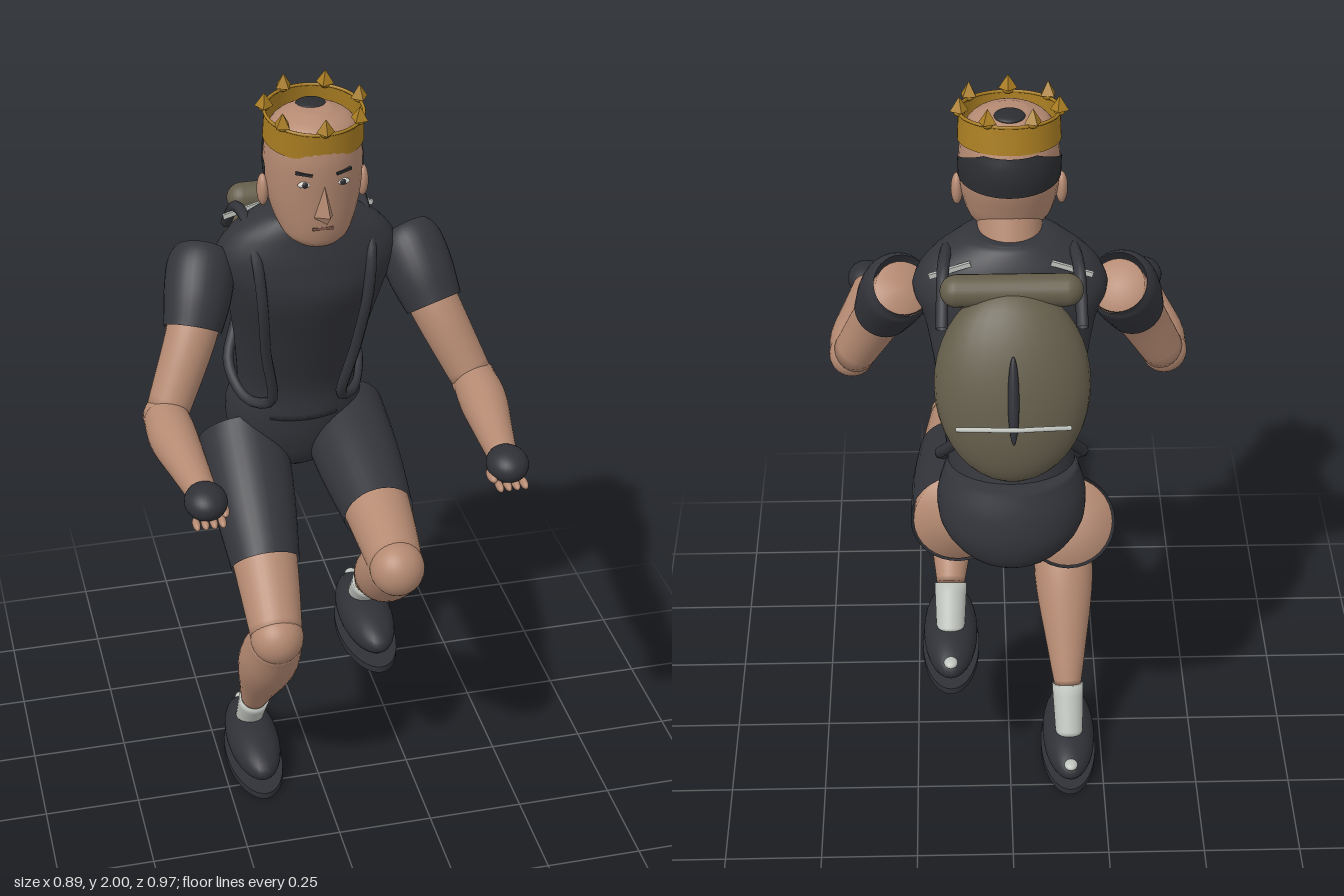
import * as THREE from 'three';
import { ConvexGeometry } from 'three/addons/geometries/ConvexGeometry.js';

const mat = (name, color) => Object.assign(new THREE.MeshStandardMaterial({ color, side: THREE.DoubleSide }), { name });
const V = (x, y, z) => new THREE.Vector3(x, y, z);

export function createModel() {
  const skin = mat('skin', 0xb58a72), cloth = mat('dark cloth', 0x34353b), dark = mat('shoe and glove', 0x303137);
  const hair = mat('hair', 0x2c2d31), canvas = mat('pack canvas', 0x645d4b), light = mat('light sock', 0xbfc3bd);
  const gold = mat('gold', 0xa97d22), white = mat('eye white', 0xe0ddd6), lip = mat('lips', 0x7c574a);

  const model = new THREE.Group();
  model.name = 'runner';

  function add(name, geo, material, pos = [0, 0, 0], rot = [0, 0, 0], parent = model) {
    const m = new THREE.Mesh(geo, material);
    m.name = name;
    m.position.set(...pos);
    m.rotation.set(...rot);
    parent.add(m);
    return m;
  }
  function ball(name, material, pos, size, parent = model) {
    const m = add(name, new THREE.SphereGeometry(1, 28, 20), material, pos, [0, 0, 0], parent);
    m.scale.set(...size);
    return m;
  }
  // Smooth surface through rings [x, y, z, rx, rz, halfAngle]; rings stay level, or face along the path
  function loft(rings, { along = false, cap = true, steps = 6, seg = 32 } = {}) {
    const curve = (f) => new THREE.CatmullRomCurve3(rings.map(f), false, 'catmullrom', 0.5);
    const path = curve((r) => V(r[0], r[1], r[2]));
    const radii = curve((r) => V(r[3], r[4] ?? r[3], r[5] ?? Math.PI));
    const n = (rings.length - 1) * steps, pos = [], index = [], q = new THREE.Quaternion();
    const arc = rings[0].length > 5, cols = arc ? seg + 1 : seg;
    const rows = [];
    for (let i = 0; i <= n; i++) rows.push([i / n, 1]);
    if (cap) { rows.unshift([0, 0]); rows.push([1, 0]); }
    for (const [t, k] of rows) {
      const c = path.getPoint(t), r = radii.getPoint(t);
      if (along) q.setFromUnitVectors(V(0, 1, 0), path.getTangent(t));
      for (let j = 0; j < cols; j++) {
        const a = arc ? Math.PI - r.z + (2 * r.z * j) / seg : (2 * Math.PI * j) / seg;
        const p = V(Math.sin(a) * r.x * k, 0, Math.cos(a) * r.y * k).applyQuaternion(q).add(c);
        pos.push(p.x, p.y, p.z);
      }
    }
    for (let i = 0; i < rows.length - 1; i++) for (let j = 0; j < seg; j++) {
      const j2 = (j + 1) % cols, a = i * cols + j, b = i * cols + j2, c = b + cols, d = a + cols;
      index.push(a, b, c, a, c, d);
    }
    const g = new THREE.BufferGeometry();
    g.setAttribute('position', new THREE.Float32BufferAttribute(pos, 3));
    g.setIndex(index);
    g.computeVertexNormals();
    return g;
  }
  const limb = (name, material, rings, cap = true) => add(name, loft(rings, { along: true, cap }), material);
  const cord = (name, material, pts, r, parent = model) =>
    add(name, new THREE.TubeGeometry(new THREE.CatmullRomCurve3(pts.map((p) => V(...p))), 40, r, 8), material, [0, 0, 0], [0, 0, 0], parent);

  // Trunk
  add('shirt', loft([
    [0, 1.05, -0.27, 0.155, 0.125], [0, 1.15, -0.25, 0.155, 0.115], [0, 1.3, -0.2, 0.172, 0.125],
    [0, 1.45, -0.145, 0.2, 0.132], [0, 1.54, -0.135, 0.228, 0.125], [0, 1.61, -0.13, 0.195, 0.112],
    [0, 1.66, -0.12, 0.125, 0.095], [0, 1.675, -0.115, 0.085, 0.08]]), cloth);
  add('shortsSeat', loft([
    [0, 0.86, -0.29, 0.04, 0.05], [0, 0.9, -0.3, 0.12, 0.11], [0, 0.97, -0.3, 0.17, 0.138],
    [0, 1.05, -0.29, 0.178, 0.142], [0, 1.125, -0.275, 0.157, 0.13]]), cloth);
  limb('neck', skin, [[0, 1.6, -0.13, 0.075], [0, 1.72, -0.08, 0.075]]);

  // Head and face
  add('head', loft([
    [0, 1.63, -0.005, 0.045, 0.035], [0, 1.65, -0.02, 0.075, 0.06], [0, 1.69, -0.045, 0.097, 0.095],
    [0, 1.75, -0.055, 0.112, 0.113], [0, 1.81, -0.06, 0.117, 0.125], [0, 1.86, -0.057, 0.115, 0.124],
    [0, 1.9, -0.055, 0.108, 0.115], [0, 1.93, -0.055, 0.085, 0.09], [0, 1.95, -0.055, 0.04, 0.045]]), skin);
  add('backHair', loft([
    [0, 1.793, -0.058, 0.119, 0.126, 1.7], [0, 1.83, -0.059, 0.12, 0.13, 1.65],
    [0, 1.862, -0.057, 0.119, 0.129, 1.1], [0, 1.89, -0.056, 0.114, 0.122, 0.55]], { cap: false }), hair);
  ball('crownHair', hair, [0, 1.948, -0.08], [0.036, 0.009, 0.034]);
  add('nose', new ConvexGeometry([V(0, 1.805, 0.058), V(-0.024, 1.715, 0.045), V(0.024, 1.715, 0.045),
    V(0, 1.745, 0.123), V(0, 1.715, 0.09)]), skin);
  add('mouth', new THREE.BoxGeometry(0.05, 0.007, 0.012), lip, [0, 1.685, 0.044]);
  for (const s of [1, -1]) {
    ball('eye', white, [s * 0.045, 1.805, 0.054], [0.017, 0.008, 0.006]);
    ball('pupil', hair, [s * 0.045, 1.805, 0.058], [0.007, 0.007, 0.004]);
    add('eyebrow', new THREE.BoxGeometry(0.04, 0.006, 0.009), hair, [s * 0.047, 1.832, 0.056], [0, s * 0.35, s * 0.12]);
    ball('ear', skin, [s * 0.121, 1.75, -0.06], [0.014, 0.04, 0.021]);
  }

  // Crown: tilted band with seven points
  const crown = new THREE.Group();
  crown.name = 'crown';
  crown.position.set(0, 1.913, -0.05);
  crown.rotation.x = 0.13;
  model.add(crown);
  add('crownBand', new THREE.CylinderGeometry(0.116, 0.119, 0.066, 48, 1, true), gold, [0, 0, 0], [0, 0, 0], crown);
  const rim = add('crownRim', new THREE.TorusGeometry(0.116, 0.004, 8, 48), gold, [0, 0.033, 0], [Math.PI / 2, 0, 0], crown);
  rim.name = 'crownRim';
  for (let i = 0; i < 7; i++) {
    const a = (i * 2 * Math.PI) / 7, p = [Math.sin(a) * 0.116, 0, Math.cos(a) * 0.116];
    const cone = new THREE.ConeGeometry(0.022, 0.034, 4).toNonIndexed();
    cone.computeVertexNormals();
    add('crownPoint', cone, gold, [p[0], 0.057, p[2]], [0, a, 0], crown);
    ball('crownBead', gold, [p[0], 0.038, p[2]], [0.013, 0.011, 0.013], crown);
  }

  // Arms
  for (const s of [1, -1]) {
    limb('upperArm', skin, [[s * 0.385, 1.225, 0.035, 0.052], [s * 0.3, 1.41, -0.045, 0.063], [s * 0.25, 1.535, -0.15, 0.066]]);
    limb('sleeve', cloth, [[s * 0.302, 1.405, -0.042, 0.071], [s * 0.28, 1.47, -0.085, 0.082],
      [s * 0.262, 1.525, -0.13, 0.083], [s * 0.25, 1.55, -0.158, 0.07]], false);
    ball('elbow', skin, [s * 0.387, 1.222, 0.04], [0.056, 0.056, 0.056]);
    limb('forearm', skin, [[s * 0.36, 1.205, 0.38, 0.034], [s * 0.372, 1.208, 0.26, 0.046],
      [s * 0.385, 1.213, 0.13, 0.058], [s * 0.388, 1.222, 0.04, 0.054]]);
    ball('glove', dark, [s * 0.36, 1.208, 0.41], [0.05, 0.041, 0.058]);
    for (let i = 0; i < 4; i++)
      ball('finger', skin, [s * (0.33 + i * 0.02), 1.173, 0.448], [0.009, 0.011, 0.024]);
    ball('thumb', skin, [s * 0.32, 1.185, 0.42], [0.012, 0.012, 0.028]);
  }

  // Legs: left is raised, right is planted
  function leg(side, { hip, hem, knee, calf, shin, sock, heel, shoeX, shoeY }) {
    limb(side + 'Thigh', skin, [[...hip, 0.108], [...hem, 0.083], [...knee, 0.066]]);
    limb(side + 'ShortsLeg', cloth, [[...hip, 0.115], [...hip.map((v, i) => (v + hem[i]) / 2), 0.108], [...hem, 0.089]], false);
    ball(side + 'Knee', skin, knee, [0.068, 0.07, 0.068]);
    limb(side + 'Calf', skin, [[...sock, 0.036], [...shin, 0.05], [...calf, 0.078], [...knee, 0.066]]);
    limb(side + 'Sock', light, [[...heel, 0.036], [...sock, 0.042]]);
    ball(side + 'Shoe', dark, [shoeX, shoeY + 0.067, -0.115], [0.07, 0.06, 0.175]);
    add(side + 'Sole', new THREE.CylinderGeometry(1, 1, 1, 40), dark, [shoeX, shoeY + 0.009, -0.108]).scale.set(0.074, 0.018, 0.18);
    ball(side + 'HeelTab', light, [shoeX, shoeY + 0.09, -0.265], [0.018, 0.012, 0.022]);
  }
  leg('left', {
    hip: [0.13, 0.965, -0.3], hem: [0.14, 0.885, 0.075], knee: [0.135, 0.853, 0.275], calf: [0.145, 0.742, 0.13],
    shin: [0.15, 0.63, -0.01], sock: [0.153, 0.573, -0.075], heel: [0.155, 0.47, -0.16], shoeX: 0.155, shoeY: 0.376 });
  leg('right', {
    hip: [-0.138, 0.945, -0.29], hem: [-0.14, 0.725, 0.005], knee: [-0.145, 0.605, 0.16], calf: [-0.15, 0.47, 0.07],
    shin: [-0.155, 0.3, -0.045], sock: [-0.157, 0.225, -0.092], heel: [-0.16, 0.1, -0.165], shoeX: -0.16, shoeY: 0.002 });

  // Backpack
  const pack = new THREE.Group();
  pack.name = 'backpack';
  pack.position.set(0, 1.41, -0.365);
  pack.rotation.x = 0.31;
  model.add(pack);
  ball('packBody', canvas, [0, 0, 0], [0.18, 0.235, 0.098], pack);
  add('packRoll', new THREE.CapsuleGeometry(0.038, 0.25, 8, 20), canvas, [0, 1.62, -0.295], [0, 0, Math.PI / 2]);
  cord('packTrim', light, [[-0.13, -0.08, -0.083], [-0.06, -0.075, -0.104], [0, -0.075, -0.11],
    [0.06, -0.075, -0.104], [0.13, -0.08, -0.083]], 0.006, pack);
  ball('packSpine', dark, [0, -0.01, -0.098], [0.013, 0.105, 0.013], pack);

  // Shoulder straps and their light bands
  for (const s of [1, -1]) {
    cord('strap', cloth, [[s * 0.16, 1.54, -0.33], [s * 0.155, 1.635, -0.22], [s * 0.145, 1.63, -0.12],
      [s * 0.14, 1.57, -0.045], [s * 0.132, 1.47, -0.028], [s * 0.115, 1.3, -0.075], [s * 0.092, 1.12, -0.14],
      [s * 0.14, 1.1, -0.2], [s * 0.17, 1.16, -0.29], [s * 0.13, 1.25, -0.37]], 0.014);
    add('strapBand', new THREE.BoxGeometry(0.1, 0.012, 0.008), light, [s * 0.14, 1.625, -0.215], [0, s * 0.06, s * -0.3]);
  }
  return model;
}
